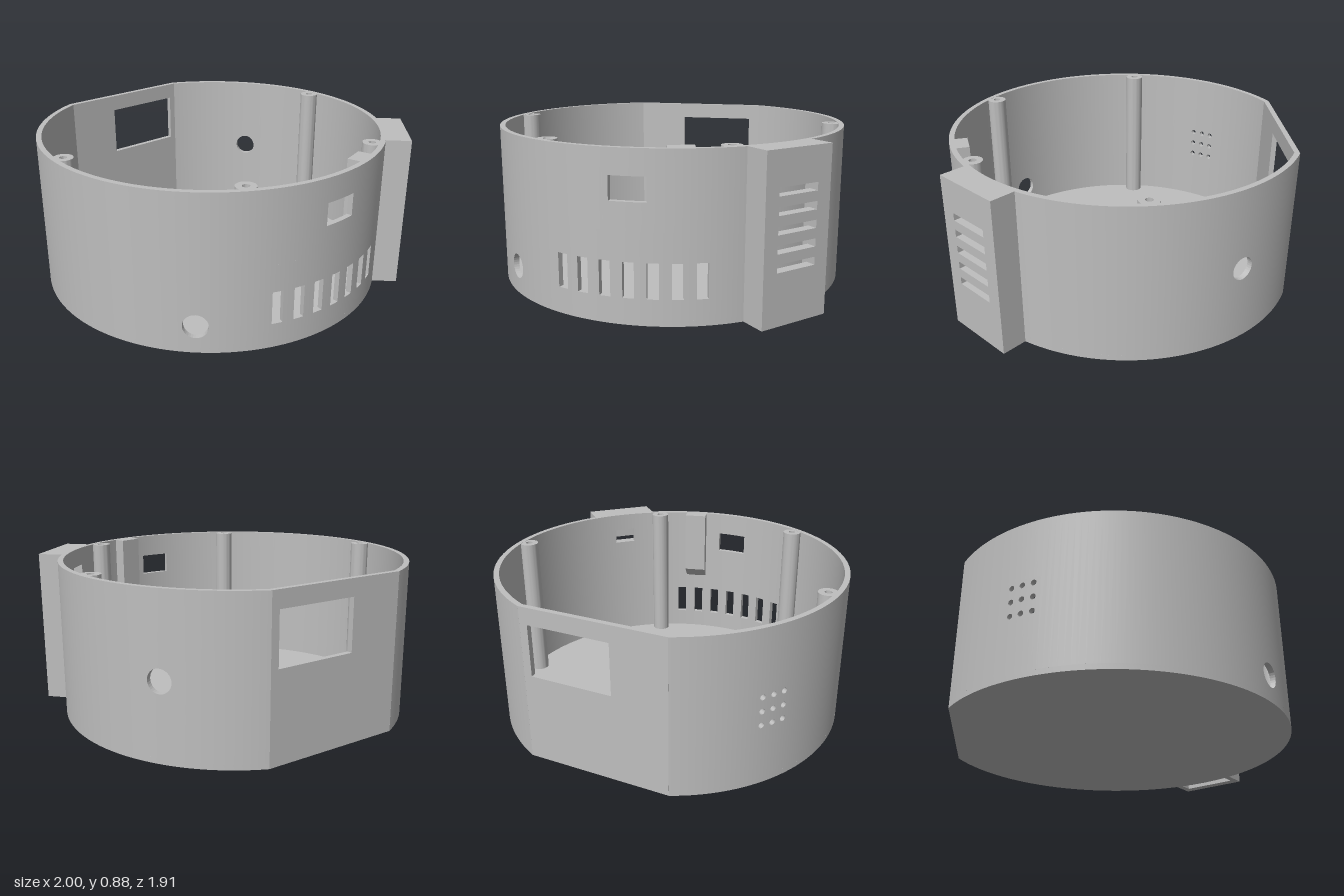
import * as THREE from 'three';
import { toCreasedNormals } from 'three/addons/utils/BufferGeometryUtils.js';

const H = 0.885, R = 1, T = 0.03, ZC = -0.045, FLAT = -0.912;
const DEG = Math.PI / 180;
const END = 180 - Math.acos(-FLAT) / DEG; // where the round wall meets the flat back

export function createModel() {
  const grey = new THREE.MeshStandardMaterial({ color: 0xbebebe });
  grey.name = 'grey plastic';

  const root = new THREE.Group();
  root.name = 'enclosure';
  const body = new THREE.Group();
  body.name = 'body';
  body.position.z = ZC;
  root.add(body);

  const add = (parent, name, geo) => {
    const mesh = new THREE.Mesh(geo, grey);
    mesh.name = name;
    parent.add(mesh);
    return mesh;
  };
  const group = (parent, name) => {
    const g = new THREE.Group();
    g.name = name;
    parent.add(g);
    return g;
  };
  const box = (parent, name, x0, x1, y0, y1, z0, z1) => {
    const geo = new THREE.BoxGeometry(x1 - x0, y1 - y0, z1 - z0);
    geo.translate((x0 + x1) / 2, (y0 + y1) / 2, (z0 + z1) / 2);
    return add(parent, name, geo);
  };
  const rect = (x0, x1, y0, y1, Kind = THREE.Shape, n = 1) => {
    const pts = [];
    for (let i = 0; i <= n; i++) pts.push(new THREE.Vector2(x0 + (x1 - x0) * i / n, y0));
    for (let i = n; i >= 0; i--) pts.push(new THREE.Vector2(x0 + (x1 - x0) * i / n, y1));
    return new Kind(pts);
  };
  const circle = (x, y, r) => new THREE.Path().absarc(x, y, r, 0, Math.PI * 2, true);
  const extrude = (shape, depth, curveSegments = 16) =>
    new THREE.ExtrudeGeometry(shape, { depth, bevelEnabled: false, curveSegments });

  // Wraps a flat panel (x = arc length, z = radius) round the axis
  const bend = (geo) => {
    const p = geo.attributes.position, n = geo.attributes.normal;
    const v = new THREE.Vector3(), up = new THREE.Vector3(0, 1, 0);
    for (let i = 0; i < p.count; i++) {
      const a = p.getX(i), r = p.getZ(i);
      p.setXYZ(i, Math.sin(a) * r, p.getY(i), Math.cos(a) * r);
      v.fromBufferAttribute(n, i).applyAxisAngle(up, a);
      n.setXYZ(i, v.x, v.y, v.z);
    }
    return geo;
  };

  // Round wall: solid panels with openings [angle0, angle1, y0, y1, circles?]
  const wall = group(body, 'roundWall');
  const solid = (a0, a1, y0, y1) => {
    if (a1 - a0 < 0.001 || y1 - y0 < 0.001) return;
    const geo = new THREE.BoxGeometry((a1 - a0) * DEG, y1 - y0, T, Math.ceil((a1 - a0) / 2));
    geo.translate((a0 + a1) / 2 * DEG, (y0 + y1) / 2, R - T / 2);
    add(wall, 'wallPanel', bend(geo));
  };
  const band = (a0, a1, y0, y1, openings) => {
    let at = a0;
    for (const [b0, b1, h0, h1, circles] of openings) {
      solid(at, b0, y0, y1);
      solid(b0, b1, y0, h0);
      solid(b0, b1, h1, y1);
      if (circles) {
        const shape = rect(b0 * DEG, b1 * DEG, h0, h1, THREE.Shape, Math.ceil((b1 - b0) / 2));
        shape.holes = circles;
        const geo = extrude(shape, T);
        geo.translate(0, 0, R - T);
        add(wall, 'perforatedPanel', bend(geo));
      }
      at = b1;
    }
    solid(at, a1, y0, y1);
  };

  const grille = [];
  for (let i = -1; i <= 1; i++)
    for (let j = -1; j <= 1; j++)
      grille.push(circle(-125 * DEG + i * 0.065, 0.43 + j * 0.08, 0.016));
  band(-END, -26, T, H, [
    [-131, -119, 0.32, 0.54, grille],
    [-50, -40, 0.07, 0.24, [circle(-45 * DEG, 0.155, 0.068)]],
  ]);
  const vents = [];
  for (let i = -3; i <= 3; i++) vents.push([i * 7 - 1.7, i * 7 + 1.7, 0.14, 0.325]);
  band(-26, 26, T, 0.48, vents);
  band(-26, 26, 0.48, H, [[-5.45, 5.45, 0.625, 0.75]]);
  band(26, END, T, H, [
    [41.2, 48.8, 0.69, 0.78],
    [120, 130, 0.35, 0.51, [circle(125 * DEG, 0.43, 0.065)]],
  ]);

  // Flat back wall with its window
  const back = rect(-0.41, 0.41, T, H);
  back.holes.push(rect(-0.10, 0.365, 0.50, 0.79, THREE.Path));
  add(body, 'flatBackWall', extrude(back, T)).position.z = FLAT;

  // Floor: a disc cut off at the back
  const disc = new THREE.Shape().absarc(0, 0, R, (270 - END) * DEG, (END + 270) * DEG, false);
  disc.curves.length = 0;
  const pts = [];
  for (let i = 0; i <= 156; i++) {
    const a = (-END + 2 * END * i / 156) * DEG;
    pts.push(new THREE.Vector2(Math.sin(a), -Math.cos(a)));
  }
  disc.setFromPoints(pts);
  const floor = extrude(disc, T);
  floor.rotateX(-Math.PI / 2);
  add(body, 'floor', toCreasedNormals(floor, 0.3));

  // Screw posts
  const ring = new THREE.Shape().absarc(0, 0, 0.054, 0, Math.PI * 2, false);
  ring.holes.push(circle(0, 0, 0.02));
  const post = extrude(ring, H - T - 0.001, 24);
  post.rotateX(-Math.PI / 2);
  const postGeo = toCreasedNormals(post, 0.6);
  for (const side of [-1, 1])
    for (const [x, z] of [[0.93, -0.085], [0.47, 0.805]])
      add(body, 'screwPost', postGeo).position.set(side * x, T, z);

  // Inner block behind the front wall, sloped underneath
  const profile = new THREE.Shape([[0.897, H], [0.897, 0.495], [0.98, 0.415], [0.98, H]]
    .map(([x, y]) => new THREE.Vector2(x, y)));
  const block = extrude(profile, 0.135);
  block.translate(0, 0, -0.0675);
  add(body, 'innerBlock', block).rotation.y = (15 - 90) * DEG;

  // Slotted sensor housing on the front left corner, open below
  const housing = group(body, 'ventHousing');
  housing.rotation.y = 45 * DEG;
  const plate = rect(-0.205, 0.205, 0, H);
  for (let i = 0; i < 5; i++) {
    const y = 0.30 + i * 0.095;
    plate.holes.push(rect(-0.122, 0.122, y - 0.021, y + 0.021, THREE.Path));
  }
  add(housing, 'slottedPlate', extrude(plate, 0.055)).position.z = 1.066;
  box(housing, 'housingSide', -0.205, -0.165, 0, H, 0.972, 1.066);
  box(housing, 'housingSide', 0.165, 0.205, 0, H, 0.972, 1.066);
  box(housing, 'housingTop', -0.165, 0.165, H - 0.04, H, 0.975, 1.066);

  return root;
}
